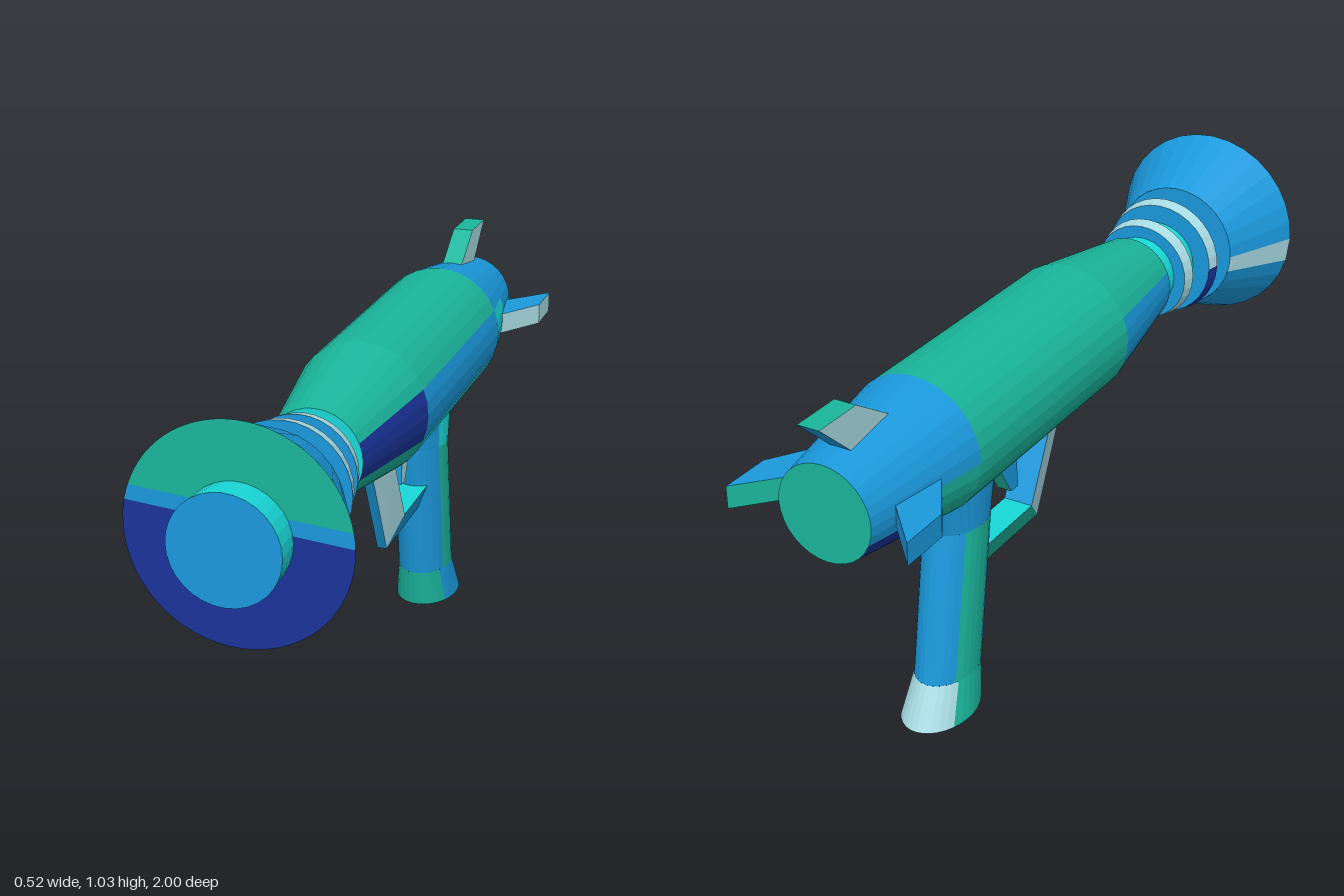
import * as THREE from 'three';

const paint = (name, color) => {
  const m = new THREE.MeshStandardMaterial({ color, flatShading: true });
  m.name = name;
  return m;
};
const AXIS = 0.774;
const rad = THREE.MathUtils.degToRad;

export function createModel() {
  const green = paint('green', 0x1ab69c);
  const blue = paint('blue', 0x1a99dc);
  const navy = paint('navy', 0x1a3399);
  const cyan = paint('cyan', 0x18d8d8);
  const pale = paint('pale grey', 0xa8dce4);

  const model = new THREE.Group();
  model.name = 'rocketLauncher';
  const group = (name, y = 0) => {
    const g = new THREE.Group();
    g.name = name;
    g.position.y = y;
    model.add(g);
    return g;
  };
  const add = (parent, name, geometry, material) => {
    const mesh = new THREE.Mesh(geometry, material);
    mesh.name = name;
    parent.add(mesh);
    return mesh;
  };
  const steps = (a, b) => Math.max(1, Math.round((b - a) / 11.25));

  // Open tapered wall around the z axis; angles run from +x towards +y
  const wall = (parent, name, [z0, r0], [z1, r1], sectors) => {
    for (const [a, b, material] of sectors) {
      const g = new THREE.CylinderGeometry(r0, r1, z0 - z1, steps(a, b), 1, true, rad(a + 90), rad(b - a));
      g.rotateX(Math.PI / 2).translate(0, 0, (z0 + z1) / 2);
      add(parent, name, g, material);
    }
  };
  // Flat round end facing +z or -z
  const disc = (parent, name, z, r, facing, material) => {
    const g = new THREE.CircleGeometry(r, 32);
    if (facing < 0) g.rotateY(Math.PI);
    add(parent, name, g.translate(0, 0, z), material);
  };
  // Six-sided block: rule maps corner signs to a position; materials +x -x +y -y +z -z
  const block = (parent, name, rule, materials) => {
    const g = new THREE.BoxGeometry(2, 2, 2);
    const p = g.attributes.position;
    for (let i = 0; i < p.count; i++) p.setXYZ(i, ...rule(p.getX(i), p.getY(i), p.getZ(i)));
    g.computeVertexNormals();
    return add(parent, name, g, materials);
  };

  // Main tube
  const body = group('body', AXIS);
  wall(body, 'frontTaper', [0.44, 0.12], [0.09, 0.175],
    [[-22.5, 22.5, navy], [22.5, 157.5, green], [157.5, 202.5, blue], [202.5, 337.5, green]]);
  wall(body, 'barrel', [0.09, 0.175], [-0.615, 0.175],
    [[-22.5, 22.5, blue], [22.5, 270, green], [270, 337.5, cyan]]);
  wall(body, 'rearTaperFront', [-0.615, 0.175], [-0.78, 0.149],
    [[-22.5, 22.5, cyan], [22.5, 180, blue], [180, 337.5, green]]);
  wall(body, 'rearTaperBack', [-0.78, 0.149], [-0.965, 0.12], [[-22.5, 202.5, blue], [202.5, 337.5, navy]]);
  disc(body, 'bodyFront', 0.44, 0.12, 1, cyan);
  disc(body, 'bodyBack', -0.965, 0.12, -1, green);

  // Neck and muzzle tip
  const neck = group('neck', AXIS);
  wall(neck, 'neckTube', [1, 0.13], [0.43, 0.095], [[0, 360, cyan]]);
  disc(neck, 'muzzleFace', 1, 0.13, 1, blue);

  // Cooling rings
  for (const [name, z, r, lower] of [['frontRing', 0.645, 0.163, navy], ['rearRing', 0.54, 0.14, pale]]) {
    const ring = group(name, AXIS);
    wall(ring, 'rim', [z, r], [z - 0.035, r - 0.008], [[-22.5, 180, pale], [180, 337.5, lower]]);
    disc(ring, 'ringFront', z, r, 1, blue);
    disc(ring, 'ringBack', z - 0.035, r - 0.008, -1, blue);
  }

  // Flared muzzle cone with a banded front
  const cone = group('flare', AXIS);
  wall(cone, 'flareSide', [0.923, 0.261], [0.715, 0.17], [[180, 195, pale], [195, 540, blue]]);
  disc(cone, 'flareBack', 0.715, 0.17, -1, blue);
  const bands = [
    ['flareTop', green, [[9, 160]]],
    ['flareStripe', blue, [[1, 9], [160, 168]]],
    ['flareBottom', navy, [[168, 361]]],
  ];
  for (const [name, material, arcs] of bands) {
    const s = new THREE.Shape();
    for (const [a, b] of arcs) s.absarc(0, 0, 0.261, rad(a), rad(b), false);
    add(cone, name, new THREE.ShapeGeometry(s, 16).translate(0, 0, 0.923), material);
  }

  // Three swept tail fins
  const finRule = (x, y, z) => (y > 0
    ? [x * 0.028, 0.233, z > 0 ? -0.868 : -1]
    : [x * 0.028, 0.1, z > 0 ? -0.66 : -0.855]);
  const fins = group('tailFins', AXIS - 0.009);
  const finSet = [
    ['topFin', 0, [pale, pale, green, green, green, blue]],
    ['leftFin', -Math.PI / 2, [green, blue, pale, pale, pale, green]],
    ['rightFin', Math.PI / 2, [blue, blue, blue, blue, blue, blue]],
  ];
  for (const [name, turn, materials] of finSet) block(fins, name, finRule, materials).rotation.z = turn;

  // Oval grip: levels are [y, centre z, half width x, half depth z]
  const grip = group('grip');
  const levels = [
    [0.64, -0.455, 0.076, 0.146],
    [0.5, -0.45, 0.074, 0.1],
    [0.105, -0.51, 0.074, 0.104],
    [0, -0.545, 0.088, 0.125],
  ];
  const sections = [
    ['gripTop', [[-27, 27, cyan], [27, 333, blue]]],
    ['gripHandle', [[-27, 27, green], [27, 157, blue], [157, 215, green], [215, 333, blue]]],
    ['gripFoot', [[-27, 36, blue], [36, 210, green], [210, 333, pale]]],
  ];
  sections.forEach(([name, sectors], k) => {
    const top = levels[k], low = levels[k + 1];
    for (const [a, b, material] of sectors) {
      const g = new THREE.CylinderGeometry(1, 1, 1, steps(a, b), 1, true, rad(90 - b), rad(b - a));
      const p = g.attributes.position;
      for (let i = 0; i < p.count; i++) {
        const [y, c, hx, hz] = p.getY(i) > 0 ? top : low;
        p.setXYZ(i, p.getX(i) * hx, y, c + p.getZ(i) * hz);
      }
      g.computeVertexNormals();
      add(grip, name, g, material);
    }
  });
  const sole = new THREE.CircleGeometry(1, 32).rotateX(Math.PI / 2).scale(0.088, 1, 0.125).translate(0, 0, -0.545);
  add(grip, 'gripSole', sole, green);

  // Trigger guard, narrow on its outer edge
  const guard = group('triggerGuard');
  block(guard, 'guardPost', (x, y, z) => [
    x * (z > 0 ? 0.013 : 0.04),
    y > 0 ? 0.62 : z > 0 ? 0.318 : 0.39,
    y > 0 ? (z > 0 ? 0.06 : -0.046) : z > 0 ? -0.088 : -0.163,
  ], [pale, pale, blue, blue, blue, blue]);
  block(guard, 'guardBar', (x, y, z) => [
    x * (y > 0 ? 0.04 : 0.013),
    y > 0 ? 0.39 : 0.318,
    z < 0 ? -0.42 : y > 0 ? -0.163 : -0.088,
  ], [blue, green, cyan, blue, blue, blue]);

  // Trigger
  block(model, 'trigger', (x, y, z) => [
    x * 0.02,
    y > 0 ? 0.62 : 0.46,
    y > 0 ? (z > 0 ? -0.207 : -0.33) : z > 0 ? -0.196 : -0.228,
  ], [pale, blue, blue, green, blue, green]);

  return model;
}
